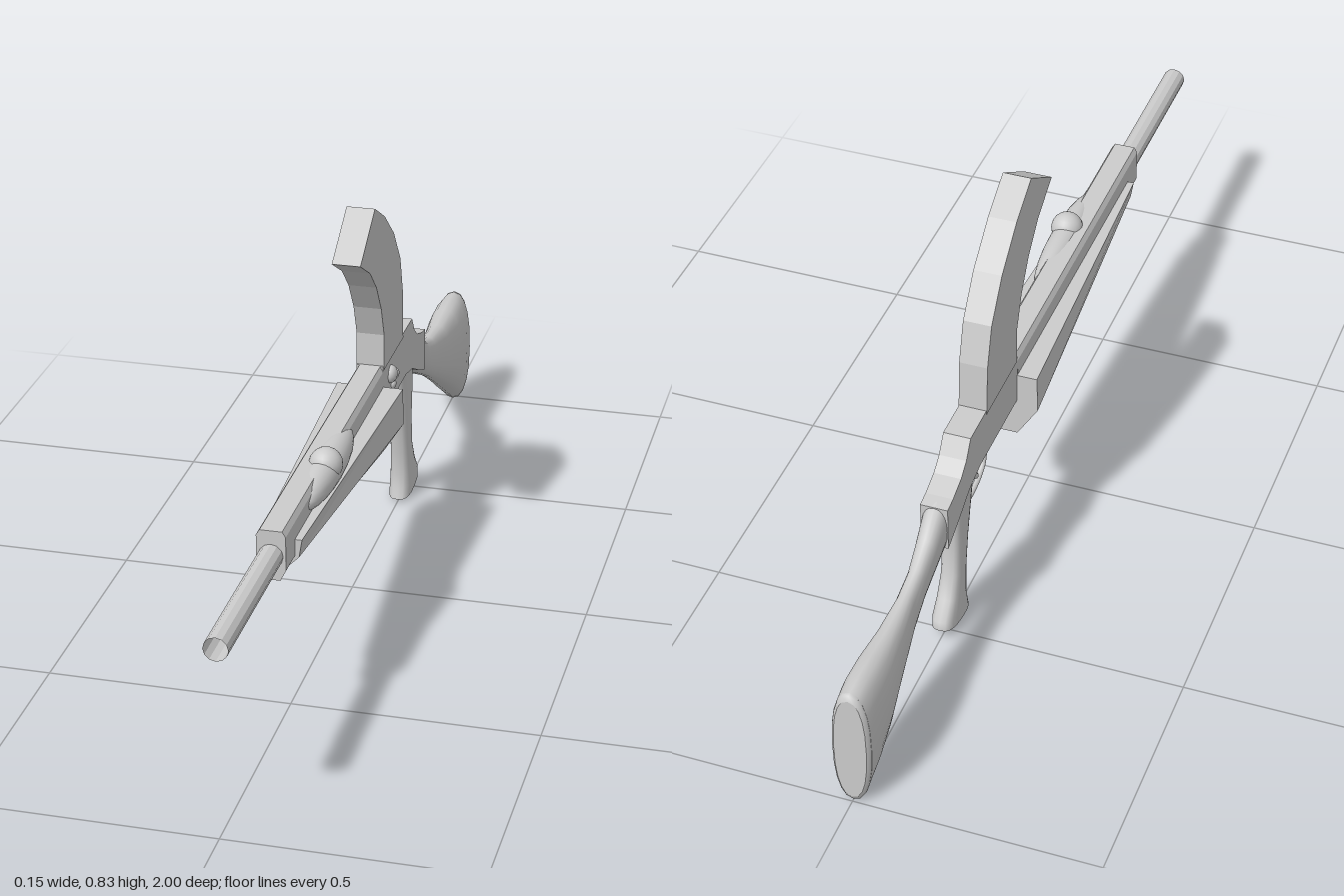
import * as THREE from 'three';

const smooth = new THREE.MeshStandardMaterial({ color: 0xcccccc });
const flat = new THREE.MeshStandardMaterial({ color: 0xcccccc, flatShading: true });
const open = new THREE.MeshStandardMaterial({ color: 0xcccccc, flatShading: true, side: THREE.DoubleSide });

// Skin a list of rings (arrays of [x, y, z]) and cap both ends
function loft(rings) {
  const n = rings[0].length, pos = [], index = [];
  rings.forEach(r => r.forEach(p => pos.push(...p)));
  for (let i = 0; i < rings.length - 1; i++) {
    for (let j = 0; j < n; j++) {
      const a = i * n + j, b = i * n + (j + 1) % n;
      index.push(a, b, a + n, b, b + n, a + n);
    }
  }
  [rings[0], rings[rings.length - 1]].forEach((ring, end) => {
    const base = pos.length / 3;
    ring.forEach(p => pos.push(...p));
    for (let j = 1; j < n - 1; j++) {
      if (end) index.push(base, base + j, base + j + 1);
      else index.push(base, base + j + 1, base + j);
    }
  });
  const g = new THREE.BufferGeometry();
  g.setAttribute('position', new THREE.Float32BufferAttribute(pos, 3));
  g.setIndex(index);
  g.computeVertexNormals();
  return g;
}

// Rounded section between two points [z, y] of the side outline, with half width w
function oval([az, ay, bz, by, w], power = 1, n = 20) {
  const round = v => Math.sign(v) * Math.abs(v) ** power;
  return Array.from({ length: n }, (_, j) => {
    const t = j / n * Math.PI * 2, c = round(Math.cos(t)) / 2;
    return [w * round(Math.sin(t)), (ay + by) / 2 + (ay - by) * c, (az + bz) / 2 + (az - bz) * c];
  });
}

// Mirrored polygon section from its right half, listed top to bottom
function section(half, z) {
  const right = half.map(([x, y]) => [x, y, z]);
  const left = half.map(([x, y]) => [-x, y, z]).reverse();
  return [...right, ...left];
}

// Side outline of [z, y] points, extruded across x
function slab(points, width) {
  const shape = new THREE.Shape(points.map(p => new THREE.Vector2(...p)));
  return new THREE.ExtrudeGeometry(shape, { depth: width, bevelEnabled: false })
    .translate(0, 0, -width / 2).rotateY(-Math.PI / 2);
}

// Thin bent rod through [z, y] points
function rod(points, radius) {
  const curve = new THREE.CatmullRomCurve3(points.map(([z, y]) => new THREE.Vector3(0, y, z)));
  return new THREE.TubeGeometry(curve, 24, radius, 8);
}

export function createModel() {
  const model = new THREE.Group();
  const add = (name, geometry, material = flat) => {
    const mesh = new THREE.Mesh(geometry, material);
    mesh.name = name;
    model.add(mesh);
    return mesh;
  };

  // Hollow barrel
  add('barrel', new THREE.CylinderGeometry(0.024, 0.024, 0.4, 12, 1, true)
    .rotateX(Math.PI / 2).translate(0, 0.397, 0.8), open);

  // Receiver: chamfered front body and shaped rear
  const body = [[0.022, 0.449], [0.029, 0.438], [0.029, 0.368], [0.018, 0.346]];
  add('receiverFront', loft([section(body, 0.63), section(body, -0.15)]));
  add('receiverRear', slab([
    [-0.15, 0.449], [-0.42, 0.447], [-0.445, 0.41], [-0.475, 0.388], [-0.52, 0.373],
    [-0.55, 0.368], [-0.55, 0.27], [-0.49, 0.295], [-0.43, 0.325], [-0.37, 0.338], [-0.15, 0.338],
  ], 0.057));

  // Faceted handguard, deeper and wider towards the rear
  add('handguard', loft([
    section([[0.043, 0.402], [0.037, 0.365], [0.017, 0.345]], 0.565),
    section([[0.071, 0.402], [0.073, 0.322], [0.029, 0.252]], -0.153),
  ]));

  // Curved magazine
  add('magazine', slab([
    [-0.155, 0.44], [-0.155, 0.52], [-0.128, 0.59], [-0.085, 0.655], [-0.03, 0.708], [0.052, 0.755],
    [-0.07, 0.833], [-0.155, 0.785], [-0.24, 0.715], [-0.3, 0.635], [-0.325, 0.55], [-0.332, 0.44],
  ], 0.059));

  // Side swell with its round knob
  add('sideSwell', new THREE.SphereGeometry(1, 20, 14)
    .scale(0.034, 0.035, 0.18).translate(0.02, 0.421, 0.29), smooth);
  add('knob', new THREE.SphereGeometry(0.034, 20, 14).translate(0.024, 0.441, 0.31), smooth);

  // Round studs on the left side
  for (const [z, y, r] of [[-0.217, 0.405, 0.02], [-0.236, 0.374, 0.011], [-0.26, 0.388, 0.012]]) {
    add('stud', new THREE.SphereGeometry(r, 14, 10).scale(0.75, 1, 1).translate(0.029, y, z), smooth);
  }

  // Trigger and its guard
  add('triggerGuard', rod([[-0.262, 0.345], [-0.267, 0.3], [-0.28, 0.262], [-0.31, 0.245],
    [-0.36, 0.238], [-0.4, 0.242]], 0.006), smooth);
  add('trigger', rod([[-0.325, 0.345], [-0.345, 0.315], [-0.345, 0.285], [-0.322, 0.265]], 0.007), smooth);

  // Pistol grip, sections run from top to bottom as back point, front point, half width
  add('grip', loft([
    [-0.475, 0.325, -0.37, 0.345, 0.025],
    [-0.475, 0.27, -0.393, 0.26, 0.024],
    [-0.474, 0.2, -0.407, 0.195, 0.022],
    [-0.482, 0.13, -0.421, 0.12, 0.022],
    [-0.505, 0.085, -0.424, 0.065, 0.024],
    [-0.535, 0.05, -0.418, 0.035, 0.026],
    [-0.537, 0.03, -0.411, 0.01, 0.026],
  ].map(s => oval(s, 0.7))), smooth);

  // Shoulder stock, sections run from the wrist back as top point, bottom point, half width
  add('stock', loft([
    [-0.47, 0.375, -0.5, 0.295, 0.024],
    [-0.545, 0.37, -0.55, 0.258, 0.027],
    [-0.6, 0.328, -0.6, 0.234, 0.023],
    [-0.65, 0.296, -0.65, 0.21, 0.02],
    [-0.71, 0.279, -0.71, 0.178, 0.022],
    [-0.8, 0.272, -0.8, 0.125, 0.032],
    [-0.88, 0.278, -0.88, 0.075, 0.042],
    [-0.94, 0.281, -0.94, 0.037, 0.044],
    [-0.99, 0.277, -0.99, 0.004, 0.04],
  ].map(s => oval(s, 0.85))), smooth);
  add('buttPlate', loft([
    [-0.988, 0.278, -0.988, 0.003, 0.04],
    [-0.995, 0.276, -0.995, 0.005, 0.038],
    [-1, 0.266, -1, 0.015, 0.033],
  ].map(s => oval(s, 0.85))), smooth);

  return model;
}
